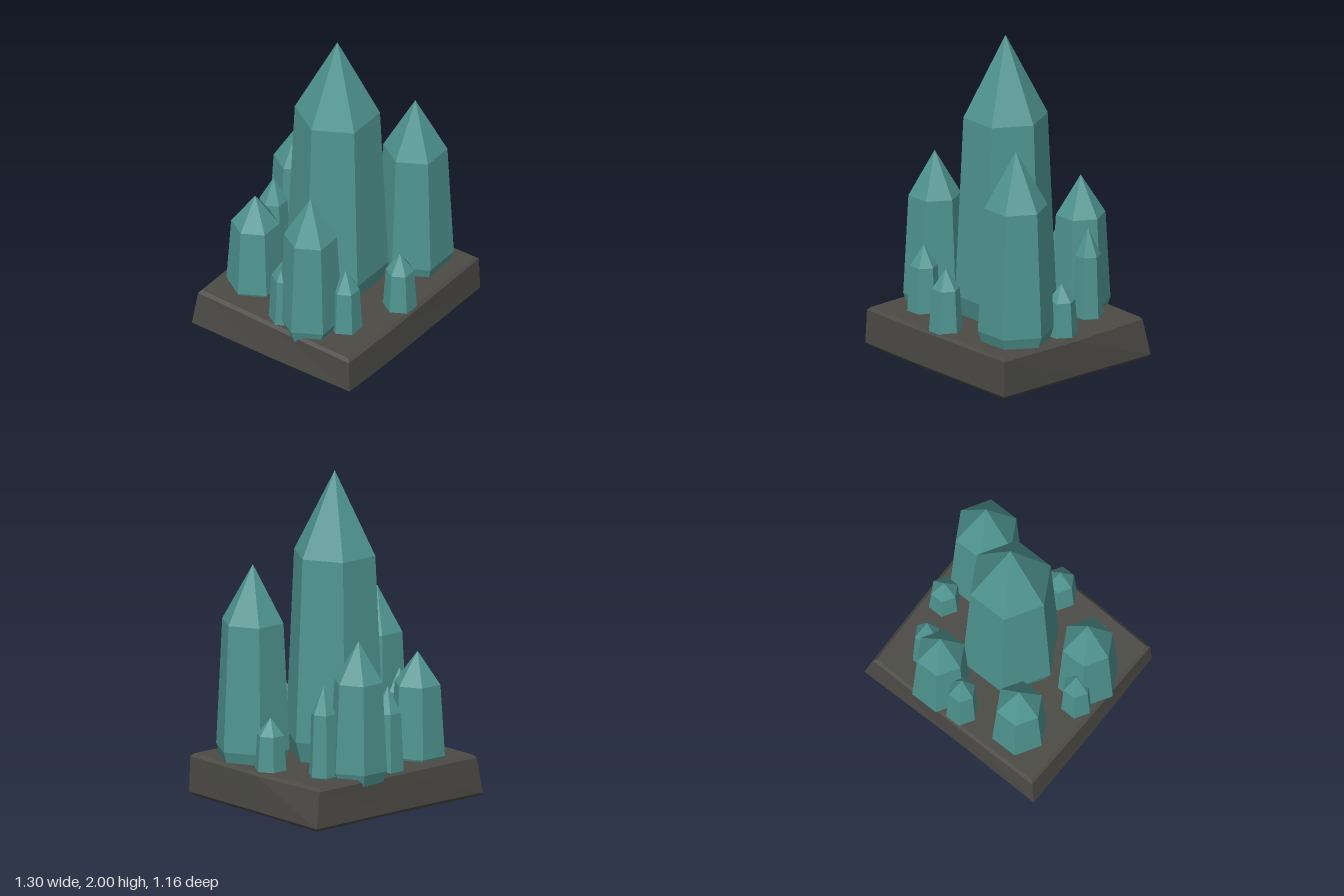
import * as THREE from 'three';

const crystalMat = new THREE.MeshStandardMaterial({ name: 'teal crystal', color: 0x4f9490, flatShading: true });
const rockMat = new THREE.MeshStandardMaterial({ name: 'dark stone', color: 0x4b4a45, flatShading: true });

const ROOT = 0.2; // height at which the crystals are rooted in the slab

// Six-sided crystal: narrow foot, widest just above it, tapering to a shoulder, then a point
function makeCrystal(name, x, z, radius, apex) {
  const h = apex - ROOT;
  const profile = [[0, 0], [0.82, 0], [1, 0.1], [0.835, 0.72], [0, 1]]
    .map(([r, t]) => new THREE.Vector2(r * radius, t * h));
  const mesh = new THREE.Mesh(new THREE.LatheGeometry(profile, 6, Math.PI / 2), crystalMat);
  mesh.position.set(x, ROOT, z);
  mesh.name = name;
  return mesh;
}

// Rough slab: uneven outline rings with a small bevel above and below
function makeSlab() {
  const low = [[-0.65, -0.58], [0, -0.565], [0.65, -0.57], [0.645, 0], [0.65, 0.58], [-0.2, 0.582], [-0.62, 0.568], [-0.64, 0]];
  const high = [[-0.62, -0.557], [0, -0.555], [0.605, -0.545], [0.63, 0], [0.645, 0.575], [-0.2, 0.575], [-0.615, 0.56], [-0.62, 0]];
  const topY = [0.24, 0.24, 0.24, 0.235, 0.243, 0.235, 0.23, 0.235];
  const ring = (outline, k, y) => outline.map(([x, z], i) => [x * k, y(i), z * k]);
  const rings = [
    ring(low, 0.97, () => 0.004),
    ring(low, 1, () => 0.025),
    ring(high, 1, (i) => topY[i]),
    ring(high, 0.97, (i) => topY[i] + 0.018),
  ];
  const pos = [];
  const tri = (...corners) => corners.forEach((c) => pos.push(...c));
  const n = low.length;
  for (let i = 0; i < n; i++) {
    const j = (i + 1) % n;
    for (let r = 0; r < rings.length - 1; r++) {
      const a = rings[r], b = rings[r + 1];
      tri(a[i], b[i], b[j]);
      tri(a[i], b[j], a[j]);
    }
    tri([0, 0.254, 0], rings[3][j], rings[3][i]);
    tri([0, 0, 0], rings[0][i], rings[0][j]);
  }
  const geo = new THREE.BufferGeometry();
  geo.setAttribute('position', new THREE.Float32BufferAttribute(pos, 3));
  geo.computeVertexNormals();
  const mesh = new THREE.Mesh(geo, rockMat);
  mesh.name = 'stoneBase';
  return mesh;
}

export function createModel() {
  const group = new THREE.Group();
  group.name = 'crystalCluster';
  group.add(makeSlab());

  // name, x, z, radius, apex height
  const crystals = [
    ['mainCrystal', 0.003, 0.008, 0.305, 2.0],
    ['frontLeftCrystal', 0.41, 0.28, 0.23, 1.44],
    ['rightCrystal', -0.463, 0.16, 0.19, 1.185],
    ['backCrystal', 0.19, -0.42, 0.18, 1.07],
    ['backRightCrystal', -0.345, -0.34, 0.172, 0.9],
    ['smallBackLeftCrystal', 0.375, -0.318, 0.092, 0.81],
    ['smallBackCrystal', -0.005, -0.46, 0.1, 0.77],
    ['smallRightCrystal', -0.505, 0.005, 0.1, 0.7],
    ['smallFrontRightCrystal', -0.355, 0.34, 0.1, 0.66],
    ['smallFrontCrystal', 0, 0.475, 0.102, 0.635],
    ['smallLeftCrystal', 0.508, 0.008, 0.1, 0.57],
  ];
  for (const c of crystals) group.add(makeCrystal(...c));
  return group;
}
